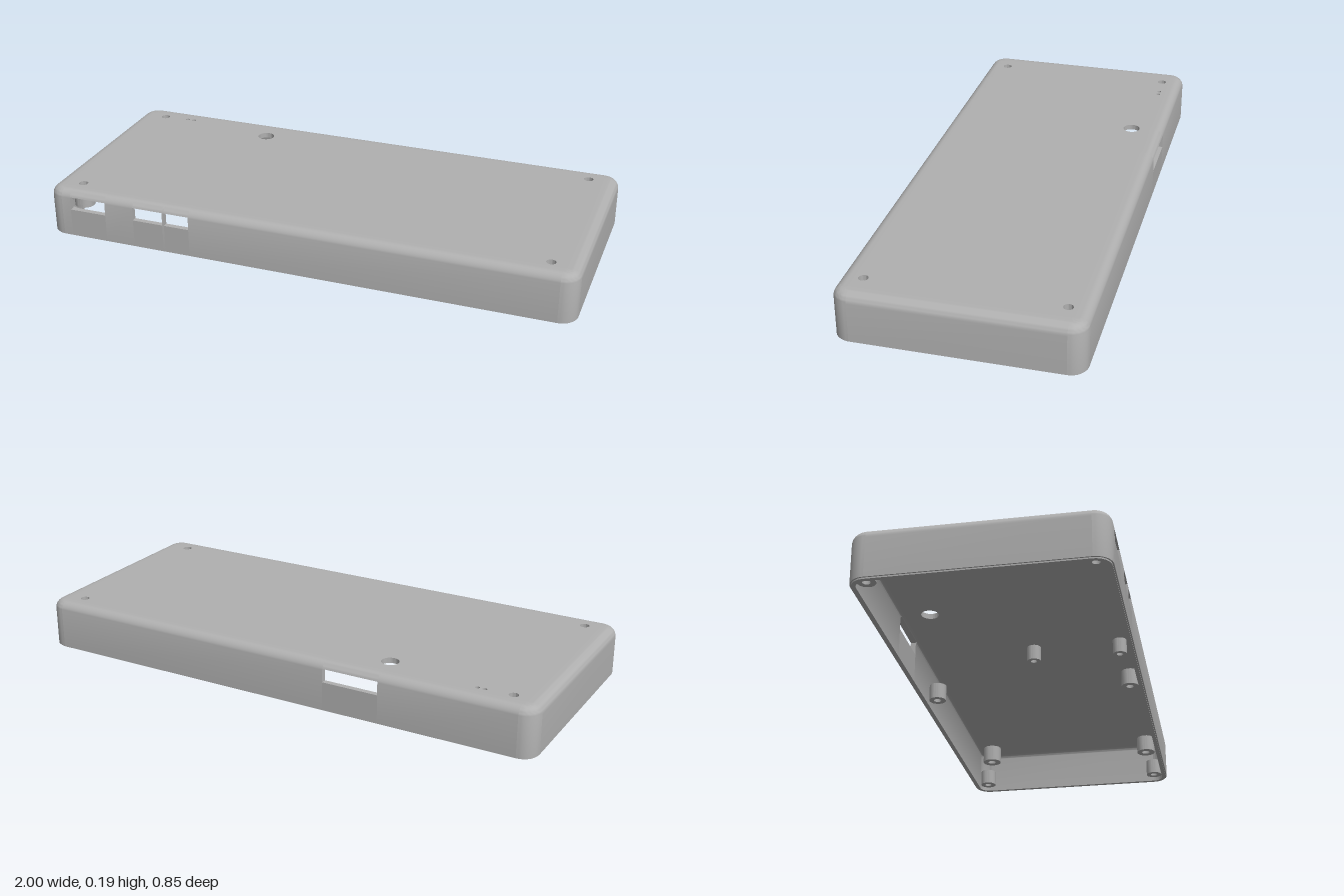
import * as THREE from 'three';
import { toCreasedNormals } from 'three/addons/utils/BufferGeometryUtils.js';

const CX = 0.94, CZ = 0.365;   // centres of the rounded corners
const R = 0.06, WALL = 0.02;   // corner radius, wall thickness
const TOP = 0.185, FILLET = 0.035, LIP = 0.005;
const SLOT_LOW = 0.11, SLOT_HIGH = 0.16;

const shellMat = new THREE.MeshStandardMaterial({ color: 0xb0b0b0 });
shellMat.name = 'greyPlastic';

// points on the edge fillet, from height y up to the flat top
function filletArc(radius, y) {
  const cy = TOP - FILLET, start = Math.asin((y - cy) / radius), pts = [];
  for (let i = 0; i <= 8; i++) {
    const a = start + (Math.PI / 2 - start) * i / 8;
    pts.push(new THREE.Vector2(R - FILLET + radius * Math.cos(a), cy + radius * Math.sin(a)));
  }
  return pts;
}

// the wall section above height y
function upperSection(y) {
  return [
    ...filletArc(FILLET, y),
    new THREE.Vector2(0, TOP),
    new THREE.Vector2(0, TOP - WALL),
    ...filletArc(FILLET - WALL, y).reverse(),
  ];
}

// rim with its small step
const rim = [[R - WALL, 0], [R - LIP, 0], [R - LIP, LIP], [R, LIP]].map((p) => new THREE.Vector2(...p));
const fullSection = [...rim, ...upperSection(TOP - FILLET)];
const belowSlot = [...rim, new THREE.Vector2(R, SLOT_LOW), new THREE.Vector2(R - WALL, SLOT_LOW)];
const aboveSlot = upperSection(SLOT_HIGH);

export function createModel() {
  const model = new THREE.Group();
  model.name = 'enclosureCover';

  function add(name, geometry, parent = model) {
    const mesh = new THREE.Mesh(toCreasedNormals(geometry, 0.5), shellMat);
    mesh.name = name;
    parent.add(mesh);
    return mesh;
  }

  // one straight wall, cut by slots given as [from, to] along its run
  function addWall(name, angle, offset, half, slots = []) {
    const wall = new THREE.Group();
    wall.name = name;
    wall.rotation.y = angle;
    model.add(wall);
    const strip = (section, from, to) => {
      const g = new THREE.ExtrudeGeometry(new THREE.Shape(section), { depth: to - from, bevelEnabled: false });
      add(name + 'Strip', g.translate(offset, 0, from), wall);
    };
    let at = -half;
    for (const [from, to] of slots) {
      strip(fullSection, at, from);
      strip(belowSlot, from, to);
      strip(aboveSlot, from, to);
      at = to;
    }
    strip(fullSection, at, half);
  }
  addWall('leftWall', 0, CX, CZ);
  addWall('rightWall', Math.PI, CX, CZ);
  addWall('frontWall', -Math.PI / 2, CZ, CX, [[0.42, 0.518], [0.525, 0.645], [0.76, 0.905]]);
  addWall('backWall', Math.PI / 2, CZ, CX, [[-0.43, -0.215]]);

  // rounded corners
  [[1, 1, 0], [1, -1, 1], [-1, -1, 2], [-1, 1, 3]].forEach(([sx, sz, quarter]) => {
    const g = new THREE.LatheGeometry([...fullSection, fullSection[0]], 10, quarter * Math.PI / 2, Math.PI / 2);
    add('corner', g).position.set(sx * CX, 0, sz * CZ);
  });

  // flat top with its round holes
  const plate = new THREE.Shape([[-CX, -CZ], [CX, -CZ], [CX, CZ], [-CX, CZ]].map((p) => new THREE.Vector2(...p)));
  const holes = [[-0.415, -0.3, 0.032], [-0.79, -0.348, 0.008], [-0.763, -0.348, 0.008]];
  for (const x of [-0.89, 0.89]) for (const z of [-0.343, 0.343]) holes.push([x, z, 0.017]);
  for (const [x, z, r] of holes) {
    plate.holes.push(new THREE.Path().absarc(x, -z, r, 0, Math.PI * 2, true));
  }
  const plateGeo = new THREE.ExtrudeGeometry(plate, { depth: WALL, bevelEnabled: false, curveSegments: 24 });
  add('topPlate', plateGeo.rotateX(-Math.PI / 2).translate(0, TOP - WALL, 0));

  // hollow round posts
  function addPost(name, x, z, r, bore, y0, y1, closed = false) {
    const profile = [[bore, y0], [r, y0], [r, y1]];
    if (closed) profile.push([0, y1], [0, y1 - 0.01], [bore, y1 - 0.01], [bore, y0]);
    else profile.push([bore, y1], [bore, y0]);
    const g = new THREE.LatheGeometry(profile.map((p) => new THREE.Vector2(...p)), 24);
    add(name, g).position.set(x, 0, z);
  }
  for (const side of [-1, 1]) {
    for (const x of [-0.945, 0, 0.945]) addPost('rimBoss', x, side * 0.37, 0.032, 0.014, 0.015, 0.075, true);
    for (const x of [-0.89, 0.89]) addPost('screwSleeve', x, side * 0.343, 0.038, 0.017, 0.1, TOP - WALL);
  }
  for (const [x, z] of [[-0.085, 0.02], [-0.09, 0.345], [-0.935, 0.322]]) {
    addPost('boardPost', x, z, 0.026, 0.012, 0.108, TOP - WALL);
  }

  return model;
}
